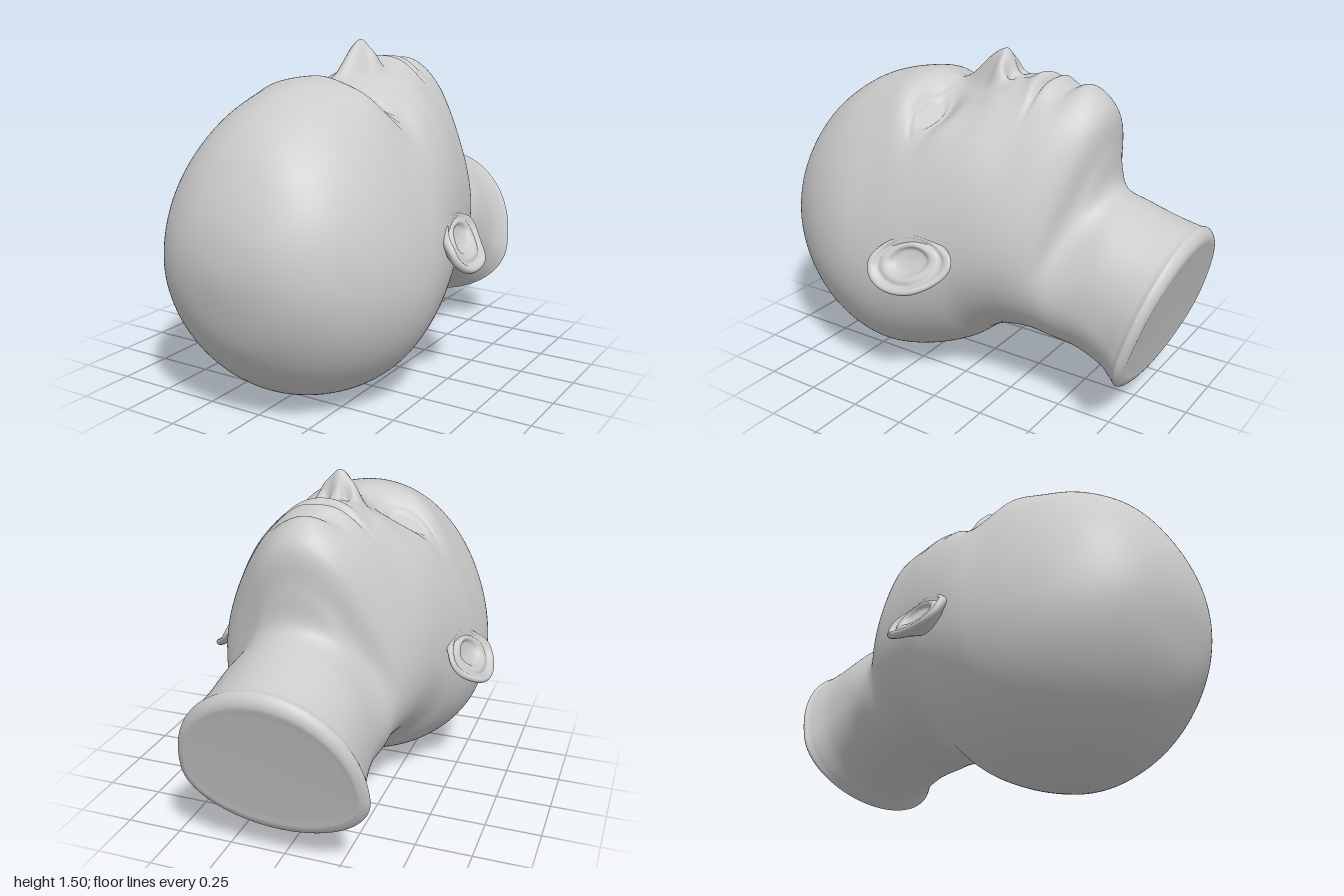
import * as THREE from 'three';
import { mergeVertices } from 'three/addons/utils/BufferGeometryUtils.js';

// Section planes from crown to neck: [topZ, topY, bottomZ, bottomY]
const OUTLINE = [
  [1, .68, 1, .68], [.97, .86, .975, .505], [.89, 1.035, .92, .345], [.785, 1.172, .815, .195],
  [.625, 1.283, .68, .085], [.465, 1.342, .525, .02], [.3, 1.365, .37, 0], [.17, 1.345, .2, .035],
  [0, 1.34, .035, .108], [-.15, 1.39, -.07, .19], [-.3, 1.385, -.16, .24], [-.47, 1.365, -.22, .255],
  [-.57, 1.29, -.28, .262], [-.585, 1.12, -.34, .265], [-.605, .97, -.42, .258], [-.72, .915, -.55, .235],
  [-.85, .875, -.68, .19], [-.94, .853, -.75, .147], [-.975, .848, -.778, .138],
  [-.997, .805, -.81, .175], [-.977, .735, -.828, .24], [-.9, .49, -.9, .49],
];
// The same sections: [half width, height of the widest point, pinch of the upper half]
const SHAPE = [
  [0, .5, 0], [.2, .48, 0], [.335, .46, 0], [.435, .44, 0], [.52, .43, .03], [.572, .42, .06],
  [.59, .41, .08], [.575, .42, .02], [.535, .42, -.02], [.5, .41, .02], [.472, .4, .08], [.442, .38, .15],
  [.41, .36, .22], [.385, .37, .3], [.372, .4, .14], [.355, .42, 0], [.362, .4, -.03],
  [.392, .38, -.02], [.41, .37, -.02], [.38, .37, -.02], [.32, .37, -.02], [0, .4, -.02],
];

const { smoothstep } = THREE.MathUtils;
const bell = (d, r) => Math.exp(-(d * d) / (r * r));
const bump = (x, z, cx, cz, rx, rz) => bell(x - cx, rx) * bell(z - cz, rz);

function spline(a, b, c, d, t) {
  return b + .5 * t * (c - a + t * (2 * a - 5 * b + 4 * c - d + t * (3 * (b - c) + d - a)));
}

// Height added to the smooth face at x, z (same on both sides)
function faceRelief(x, z) {
  x = Math.abs(x);
  let y = 0;
  // Nose ridge, wings and nostrils
  const ridge = smoothstep(-z, -.18, .04) * smoothstep(z, -.14, -.055);
  const width = .046 + .024 * smoothstep(-z, -.12, .06);
  y += .142 * ridge * bell(x, width);
  y += .032 * bump(x, z, .072, -.065, .03, .034);
  y -= .045 * bump(x, z, .042, -.105, .02, .018);
  // Eye socket, eyeball and lids
  y -= .115 * bump(x, z, .22, .165, .125, .095);
  const ex = (x - .235) / .1, ez = (z - .175) / .046;
  const e = Math.hypot(ex, ez + .15 * ex * ex);
  y += .042 * bump(x, z, .235, .175, .085, .055);
  y += .006 * bell(e - 1.05, .22) - .005 * bell(e - .82, .12);
  y -= .007 * bell(e - 1.5, .16) * smoothstep(ez, 0, .8);
  // Brow and cheekbone
  y += .035 * bump(x, z, .27, .29, .13, .11);
  y += .022 * bump(x, z, .35, .05, .1, .1);
  y -= .015 * bump(x, z, .3, -.2, .1, .13);
  // Groove above the mouth, and the fold beside the nose
  y -= .008 * bump(x, z, 0, -.18, .022, .04);
  y -= .007 * bell(x - (.13 - (z + .08) * .45), .035) * bell(z + .15, .07);
  // Lips, mouth line and chin
  y += .024 * bell(z + .237 + .14 * x, .034) * Math.exp(-Math.pow(x / .16, 4));
  y += .026 * bell(z + .33 - .14 * x, .034) * Math.exp(-Math.pow(x / .15, 4));
  y -= .024 * bell(z + .285, .013) * Math.exp(-Math.pow(x / .19, 4));
  y -= .016 * bump(x, z, 0, -.39, .13, .035);
  y += .026 * bump(x, z, 0, -.48, .13, .07);
  return y;
}

// Skull, face and neck as one loft of tilted rings
function headGeometry() {
  const SEG = 200;
  const rows = OUTLINE.map((o, i) => [...o, ...SHAPE[i]]);
  const last = rows.length - 1;
  // Rows reflected through each pole keep the ends smooth
  const reflect = ([tz, ty, bz, by, w, m, k]) => [bz, by, tz, ty, -w, m, k];
  const at = i => (i < 0 ? reflect(rows[1]) : i > last ? reflect(rows[last - 1]) : rows[i]);
  const rings = [];
  for (let i = 0; i < last; i++) {
    const steps = i >= 6 && i < 12 ? 24 : 8;
    for (let s = 0; s < steps; s++) {
      rings.push(rows[i].map((v, c) => spline(at(i - 1)[c], v, at(i + 1)[c], at(i + 2)[c], s / steps)));
    }
  }
  rings.push(rows[last]);

  const position = [], index = [];
  rings.forEach(([tz, ty, bz, by, w, mid, pinch], i) => {
    const cz = bz + (tz - bz) * mid, cy = by + (ty - by) * mid;
    for (let j = 0; j < SEG; j++) {
      // Rings are denser along the face
      const u = (j / SEG) * Math.PI * 2, a = u - .35 * Math.sin(u);
      const h = Math.cos(a), up = Math.max(h, 0), down = Math.max(-h, 0);
      const x = w * Math.sin(a) * (1 - pinch * smoothstep(h, 0, .8));
      const z = cz + up * (tz - cz) + down * (bz - cz);
      const y = cy + up * (ty - cy) + down * (by - cy);
      position.push(x, y + faceRelief(x, z) * smoothstep(h, .15, .5), z);
      if (i < rings.length - 1) {
        const p = i * SEG + j, q = i * SEG + (j + 1) % SEG;
        index.push(p, q, p + SEG, q, q + SEG, p + SEG);
      }
    }
  });
  const geometry = new THREE.BufferGeometry();
  geometry.setAttribute('position', new THREE.Float32BufferAttribute(position, 3));
  geometry.setIndex(index);
  const merged = mergeVertices(geometry, 1e-5);
  merged.computeVertexNormals();
  return merged;
}

// Ear: a lathed dish with a rolled rim, stretched into an oval; side is 1 or -1
function earGeometry(side) {
  const profile = new THREE.SplineCurve([
    [0, -.1], [.35, -.085], [.65, -.045], [.9, -.014], [1, .008], [.97, .026], [.87, .026],
    [.76, .008], [.63, .012], [.5, .004], [.36, -.02], [0, -.03],
  ].map(([r, d]) => new THREE.Vector2(r, d))).getPoints(44);
  profile.forEach(p => { p.x = Math.max(p.x, 0); });
  profile[0].x = profile[profile.length - 1].x = 0;
  let geometry = new THREE.LatheGeometry(profile, 56);
  geometry.deleteAttribute('uv');
  geometry.deleteAttribute('normal');

  const along = new THREE.Vector3(.15, -.25, .95).normalize();
  const out = new THREE.Vector3(-.45, .89, 0).cross(along).normalize();
  const across = along.clone().cross(out);
  const place = new THREE.Matrix4().makeBasis(along, out, across).setPosition(.592, .672, .05);
  const pos = geometry.attributes.position, v = new THREE.Vector3();
  for (let i = 0; i < pos.count; i++) {
    v.fromBufferAttribute(pos, i);
    const r = Math.min(1, Math.hypot(v.x, v.z));
    const lobe = smoothstep(-v.x, 0, 1), front = smoothstep(v.z, .2, 1);
    // Lobe and front edge bend in towards the head
    v.set(v.x * .195, v.y * (1 - .4 * lobe) - .03 * front - .035 * lobe,
      v.z * .13 * (1 - .15 * lobe) + .028 * (1 - r));
    v.applyMatrix4(place);
    pos.setXYZ(i, v.x * side, v.y, v.z);
  }
  if (side < 0) geometry.index.array.reverse();
  geometry = mergeVertices(geometry, 1e-5);
  geometry.computeVertexNormals();
  return geometry;
}

export function createModel() {
  const material = new THREE.MeshStandardMaterial({ color: 0xcccccc });
  const group = new THREE.Group();
  group.name = 'recliningHead';
  const add = (name, geometry) => {
    const mesh = new THREE.Mesh(geometry, material);
    mesh.name = name;
    group.add(mesh);
  };
  add('headAndNeck', headGeometry());
  add('leftEar', earGeometry(1));
  add('rightEar', earGeometry(-1));
  return group;
}
